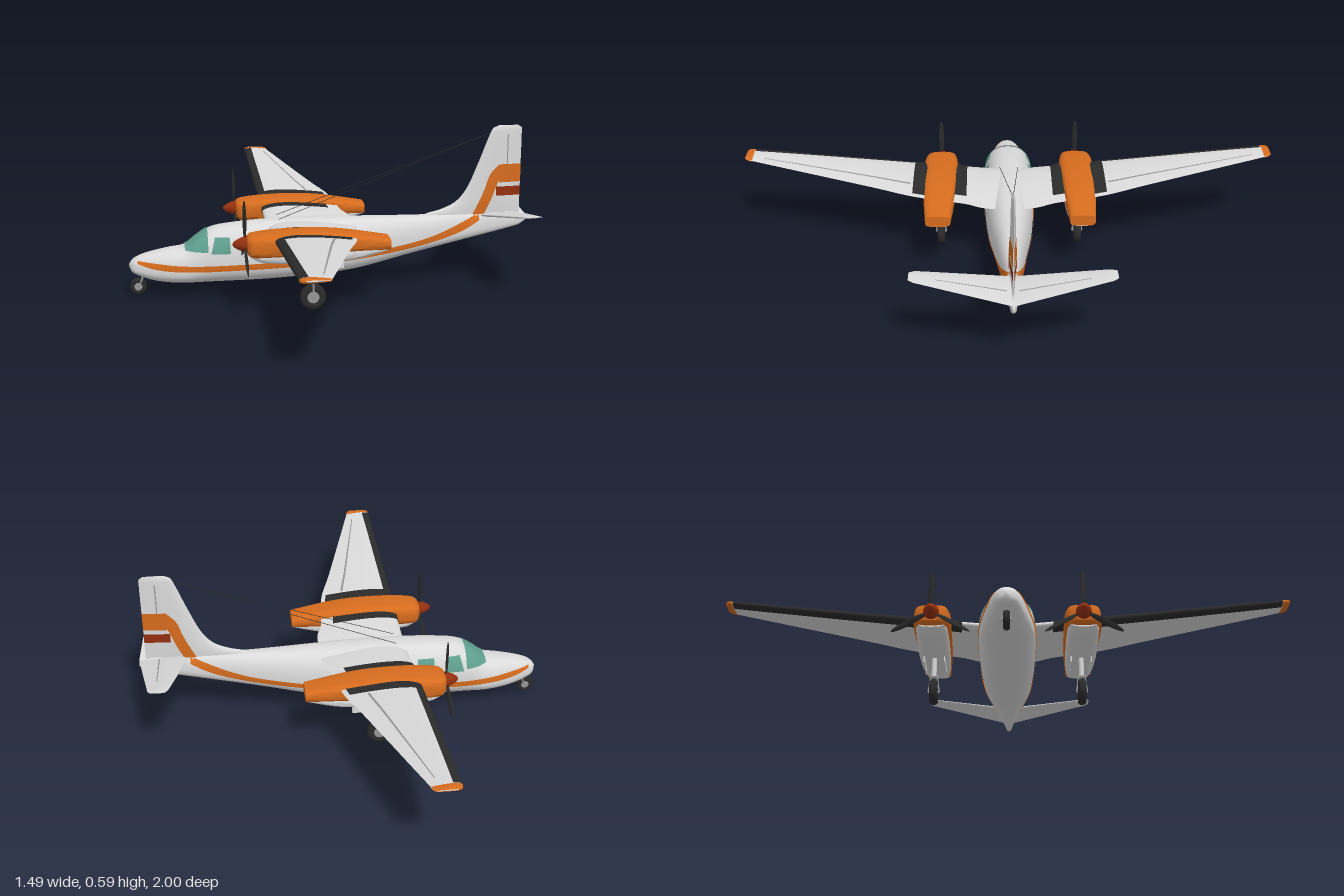
import * as THREE from 'three';
import { mergeVertices, toCreasedNormals } from 'three/addons/utils/BufferGeometryUtils.js';

const paint = (name, color) => Object.assign(new THREE.MeshStandardMaterial({ color, side: THREE.DoubleSide }), { name });
const lerp = THREE.MathUtils.lerp;

// Smooth lookup of column k in a table whose first column is the position
function at(table, x, k = 1) {
  const n = table.length;
  let i = 0;
  while (i < n - 2 && x > table[i + 1][0]) i++;
  const slope = (a, b) => (table[b][k] - table[a][k]) / (table[b][0] - table[a][0]);
  const h = table[i + 1][0] - table[i][0], t = Math.min(1, Math.max(0, (x - table[i][0]) / h));
  const m0 = i > 0 ? slope(i - 1, i + 1) : slope(0, 1);
  const m1 = i < n - 2 ? slope(i, i + 2) : slope(i, i + 1);
  const t2 = t * t, t3 = t2 * t;
  return (2 * t3 - 3 * t2 + 1) * table[i][k] + (t3 - 2 * t2 + t) * h * m0
    + (3 * t2 - 2 * t3) * table[i + 1][k] + (t3 - t2) * h * m1;
}

// Grid surface from a rule (u, v) -> [x, y, z]
function patch(fn, nu, nv) {
  const pos = [], idx = [];
  for (let i = 0; i <= nu; i++) for (let j = 0; j <= nv; j++) pos.push(...fn(i / nu, j / nv));
  for (let i = 0; i < nu; i++) for (let j = 0; j < nv; j++) {
    const a = i * (nv + 1) + j, b = a + nv + 1;
    idx.push(a, b, b + 1, a, b + 1, a + 1);
  }
  const g = new THREE.BufferGeometry();
  g.setAttribute('position', new THREE.Float32BufferAttribute(pos, 3));
  g.setIndex(idx);
  g.computeVertexNormals();
  return g;
}

function mirrored(geo) {
  const g = geo.index ? geo.clone() : mergeVertices(geo);
  g.scale(1, 1, -1);
  const ix = g.index.array;
  for (let i = 0; i < ix.length; i += 3) [ix[i + 1], ix[i + 2]] = [ix[i + 2], ix[i + 1]];
  return g;
}

// Rounded body lofted along x; rows are [x, bottom, top, halfWidth]
const power = (c, n) => Math.sign(c) * Math.abs(c) ** (2 / n);
function ring(table, x, a, n, waist, off = 0) {
  const b = at(table, x, 1), t = at(table, x, 2), c = lerp(b, t, waist);
  const s = power(Math.sin(a), n);
  return [x, c + s * ((s > 0 ? t - c : c - b) + off), power(Math.cos(a), n) * (Math.max(0.002, at(table, x, 3)) + off)];
}
function body(table, n, waist, nu, nv, z0 = 0) {
  const x0 = table[0][0], x1 = table[table.length - 1][0];
  return patch((u, v) => {
    const k = THREE.MathUtils.clamp((u * (nu) - 1) / (nu - 2), 0, 1);
    const p = ring(table, lerp(x0, x1, k ** 1.4), -Math.PI / 2 + v * Math.PI * 2, n, waist);
    const mid = (at(table, p[0], 1) + at(table, p[0], 2)) / 2;
    return u === 0 || u === 1 ? [p[0], mid, z0] : [p[0], p[1], p[2] + z0];
  }, nu, nv);
}

// Aerofoil surface; rows are [span, leadingX, trailingX, mid, halfThickness]; v < 0 is the lower side
function foil(table, span, v, off = 0) {
  const c = Math.min(1, v * v), le = at(table, span, 1), te = at(table, span, 2);
  const f = 2 * (1.4845 * Math.sqrt(c) - 0.63 * c - 1.758 * c * c + 1.4215 * c ** 3 - 0.5075 * c ** 4);
  return [le + (te - le) * c - off * (1 - c), at(table, span, 3) + Math.sign(v) * (f * at(table, span, 4) + off), span];
}

const FUSELAGE = [
  [-0.745, 0.105, 0.118, 0.004], [-0.735, 0.088, 0.132, 0.025], [-0.71, 0.074, 0.147, 0.04],
  [-0.66, 0.057, 0.161, 0.057], [-0.6, 0.047, 0.172, 0.072], [-0.54, 0.044, 0.182, 0.083],
  [-0.5, 0.044, 0.212, 0.088], [-0.455, 0.044, 0.24, 0.092], [-0.4, 0.044, 0.253, 0.094],
  [-0.25, 0.045, 0.265, 0.095], [-0.1, 0.052, 0.268, 0.092], [0.08, 0.068, 0.264, 0.08],
  [0.3, 0.116, 0.26, 0.053], [0.5, 0.159, 0.26, 0.03], [0.68, 0.198, 0.26, 0.014],
  [0.73, 0.212, 0.252, 0.009], [0.745, 0.225, 0.24, 0.003]];
const STRIPE = [[-0.715, 0.126, 0.136], [-0.65, 0.108, 0.13], [-0.55, 0.1, 0.122], [-0.3, 0.102, 0.124],
  [-0.1, 0.108, 0.13], [0.1, 0.122, 0.142], [0.25, 0.14, 0.16], [0.35, 0.158, 0.18], [0.43, 0.178, 0.206],
  [0.5, 0.203, 0.236], [0.56, 0.236, 0.262]];
const WING = [[0, -0.24, 0.08, 0.236, 0.024], [0.1, -0.24, 0.08, 0.245, 0.023], [0.16, -0.24, 0.06, 0.251, 0.021],
  [0.35, -0.24, 0.036, 0.27, 0.018], [0.5, -0.24, -0.01, 0.285, 0.016], [0.96, -0.24, -0.142, 0.332, 0.008],
  [0.99, -0.237, -0.15, 0.336, 0.006], [1, -0.222, -0.16, 0.338, 0.001]];
const STABILISER = [[0, 0.565, 0.745, 0.25, 0.009], [0.3, 0.632, 0.708, 0.314, 0.005],
  [0.325, 0.64, 0.704, 0.319, 0.004], [0.335, 0.648, 0.695, 0.321, 0.001]];
const FIN = [[0.23, 0.33, 0.715, 0, 0.012], [0.26, 0.345, 0.72, 0, 0.012], [0.275, 0.405, 0.72, 0, 0.012],
  [0.3, 0.464, 0.72, 0, 0.012], [0.35, 0.51, 0.72, 0, 0.011], [0.45, 0.555, 0.72, 0, 0.009],
  [0.565, 0.6, 0.72, 0, 0.007], [0.585, 0.613, 0.718, 0, 0.005], [0.592, 0.632, 0.705, 0, 0.001]];
const SWOOSH = [[0.245, 0.53, 0.575], [0.31, 0.562, 0.606], [0.36, 0.583, 0.625], [0.41, 0.601, 0.65], [0.445, 0.635, 0.69]];
const COWL = [[-0.335, 0.218, 0.272, 0.042], [-0.322, 0.206, 0.28, 0.056], [-0.25, 0.204, 0.288, 0.065],
  [-0.12, 0.207, 0.291, 0.064], [0, 0.212, 0.283, 0.059], [0.165, 0.215, 0.256, 0.046]];
const BELLY = [[-0.318, 0.2, 0.235, 0.045], [-0.28, 0.184, 0.235, 0.054], [-0.1, 0.175, 0.235, 0.056],
  [0.05, 0.185, 0.235, 0.05], [0.16, 0.211, 0.235, 0.038]];

export function createModel() {
  const model = new THREE.Group();
  model.name = 'aeroplane';
  const white = paint('white', 0xdadada), orange = paint('orange', 0xd66c1e), black = paint('black', 0x2b2b2b),
    glass = paint('glass', 0x5f9f8e), red = paint('dark red', 0x943010), grey = paint('grey', 0x969696);
  const add = (name, geo, mat) => {
    const m = new THREE.Mesh(geo, mat);
    m.name = name;
    model.add(m);
  };
  const pair = (name, geo, mat) => {
    add(name + 'Left', geo, mat);
    add(name + 'Right', mirrored(geo), mat);
  };
  const rod = (a, b, r, sides = 8) => {
    const p = new THREE.Vector3(...a), q = new THREE.Vector3(...b), d = q.clone().sub(p);
    const g = new THREE.CylinderGeometry(r, r, d.length(), sides);
    g.applyQuaternion(new THREE.Quaternion().setFromUnitVectors(new THREE.Vector3(0, 1, 0), d.normalize()));
    return g.translate(...p.add(q).multiplyScalar(0.5).toArray());
  };

  // Fuselage with side stripes and glazing
  const N = 2.4, WAIST = 0.38;
  add('fuselage', body(FUSELAGE, N, WAIST, 90, 40), white);
  const skin = (x, y, off = 0.003) => {
    const b = at(FUSELAGE, x, 1), t = at(FUSELAGE, x, 2), c = lerp(b, t, WAIST);
    const k = Math.min(1, Math.abs(y - c) / (y > c ? t - c : c - b));
    return [x, y, at(FUSELAGE, x, 3) * (1 - k ** N) ** (1 / N) + off];
  };
  pair('sideStripe', patch((u, v) => {
    const x = lerp(-0.715, 0.56, u);
    return skin(x, lerp(at(STRIPE, x, 1), at(STRIPE, x, 2), v));
  }, 70, 3), orange);
  for (const [i, w] of [[-0.45, -0.435, -0.382, -0.38], [-0.338, -0.336, -0.275, -0.273]].entries())
    pair('sideWindow' + (i + 1), patch((u, v) =>
      skin(lerp(lerp(w[0], w[1], v), lerp(w[3], w[2], v), u), lerp(0.165, 0.222, v)), 6, 6), glass);
  add('windshield', patch((u, v) => {
    const x = lerp(-0.543, -0.46, u), b = at(FUSELAGE, x, 1), t = at(FUSELAGE, x, 2), c = lerp(b, t, WAIST);
    const a = Math.asin(Math.min(1, (0.17 - c) / (t - c)) ** (N / 2));
    return ring(FUSELAGE, x, lerp(a, Math.PI - a, v), N, WAIST, 0.003);
  }, 10, 24), glass);

  // Wings: skin, tip caps, leading edge boots, dark strips beside the engines, hinge lines
  const strip = (table, z0, z1, v0, v1, off, nu, nv) =>
    patch((u, v) => foil(table, lerp(z0, z1, u), lerp(v0, v1, v), off), nu, nv);
  pair('wing', strip(WING, 0, 1, -1, 1, 0, 50, 28), white);
  pair('wingTip', strip(WING, 0.972, 1, -1, 1, 0.002, 8, 28), orange);
  pair('deIceBoot', patch((u, v) => {
    const z = lerp(0.35, 0.97, u), r = Math.sqrt(0.028 / (at(WING, z, 2) - at(WING, z, 1)));
    return foil(WING, z, lerp(-r, r, v), 0.002);
  }, 30, 10), black);
  pair('innerWalkway', strip(WING, 0.16, 0.215, -0.35, 0.92, 0.002, 3, 16), black);
  pair('outerWalkway', strip(WING, 0.31, 0.36, -0.35, 0.97, 0.002, 3, 16), black);
  pair('hingeLine', strip(WING, 0.37, 0.93, 0.835, 0.855, 0.0015, 20, 1), grey);

  // Tail surfaces and their painted bands
  pair('stabiliser', strip(STABILISER, 0, 0.335, -1, 1, 0, 20, 24), white);
  pair('elevatorLine', strip(STABILISER, 0.02, 0.25, 0.76, 0.78, 0.0015, 8, 1), grey);
  add('fin', patch((u, v) => {
    const [x, h, y] = foil(FIN, lerp(0.23, 0.592, u), lerp(-1, 1, v));
    return [x, y, -h];
  }, 40, 28), white);
  const finSkin = (x, y) => {
    const le = at(FIN, y, 1), k = Math.max(0, (x - le) / (at(FIN, y, 2) - le));
    return [x, y, foil(FIN, y, Math.sqrt(k))[1] + 0.002];
  };
  const finBand = (y0, y1, left, right) => patch((u, v) => {
    const y = lerp(y0, y1, v);
    return finSkin(lerp(left(y), right(y), u), y);
  }, 8, 12);
  pair('finSwoosh', finBand(0.245, 0.445, y => at(SWOOSH, y, 1), y => at(SWOOSH, y, 2)), orange);
  pair('finOrangeBand', finBand(0.376, 0.445, () => 0.635, () => 0.72), orange);
  pair('finRedBand', finBand(0.325, 0.36, () => 0.625, () => 0.72), red);
  pair('rudderLine', finBand(0.445, 0.56, () => 0.664, () => 0.668), grey);

  // Engines
  const Z = 0.262, HUB = 0.248;
  pair('engineCowl', toCreasedNormals(body(COWL, 4, 0.5, 30, 32, Z), 0.7), orange);
  pair('engineBelly', toCreasedNormals(body(BELLY, 3, 0.5, 24, 28, Z), 0.7), white);
  const spinner = new THREE.LatheGeometry([[0.028, 0], [0.026, 0.014], [0.018, 0.034], [0.009, 0.048], [0, 0.053]]
    .map(p => new THREE.Vector2(...p)), 20);
  pair('spinner', spinner.rotateZ(Math.PI / 2).translate(-0.333, HUB, Z), red);
  for (let i = 0; i < 3; i++) {
    const blade = new THREE.SphereGeometry(1, 10, 12).scale(0.004, 0.07, 0.011).rotateY(0.5).translate(0, 0.085, 0);
    pair('propellerBlade' + (i + 1), blade.rotateX(i * Math.PI * 2 / 3).translate(-0.342, HUB, Z), black);
  }

  // Landing gear
  const wheel = (r, w, x, z) => new THREE.LatheGeometry([[0.45, -0.35], [0.62, -0.5], [0.88, -0.45], [1, -0.2], [1, 0.2],
    [0.88, 0.45], [0.62, 0.5], [0.45, 0.35]].map(([a, b]) => new THREE.Vector2(a * r, b * w)), 28)
    .rotateX(Math.PI / 2).translate(x, r, z);
  const hub = (r, w, x, z) => new THREE.CylinderGeometry(r * 0.47, r * 0.47, w * 0.8, 16).rotateX(Math.PI / 2).translate(x, r, z);
  pair('mainTyre', wheel(0.046, 0.03, -0.105, Z), black);
  pair('mainHub', hub(0.046, 0.03, -0.105, Z), grey);
  for (const [i, s] of [-1, 1].entries())
    pair('mainFork' + (i + 1), rod([-0.105, 0.046, Z + s * 0.019], [-0.105, 0.115, Z + s * 0.01], 0.003), grey);
  pair('mainAxle', rod([-0.105, 0.046, Z - 0.02], [-0.105, 0.046, Z + 0.02], 0.004), grey);
  pair('mainStrut', rod([-0.105, 0.105, Z], [-0.105, 0.2, Z], 0.009, 12), white);
  for (const [i, s] of [-1, 1].entries())
    pair('gearDoor' + (i + 1), new THREE.BoxGeometry(0.12, 0.026, 0.004).translate(-0.06, 0.17, Z + s * 0.036), white);
  add('noseTyre', wheel(0.031, 0.022, -0.715, 0), black);
  add('noseHub', hub(0.031, 0.022, -0.715, 0), grey);
  for (const s of [-1, 1]) add('noseFork', rod([-0.715, 0.031, s * 0.013], [-0.695, 0.07, s * 0.008], 0.003), grey);
  add('noseStrut', rod([-0.697, 0.065, 0], [-0.68, 0.1, 0], 0.007, 12), grey);

  // Aerial wires
  pair('aerialWire', rod([0.6, 0.565, 0], [-0.2, 0.272, 0.035], 0.001, 5), black);
  return model;
}
